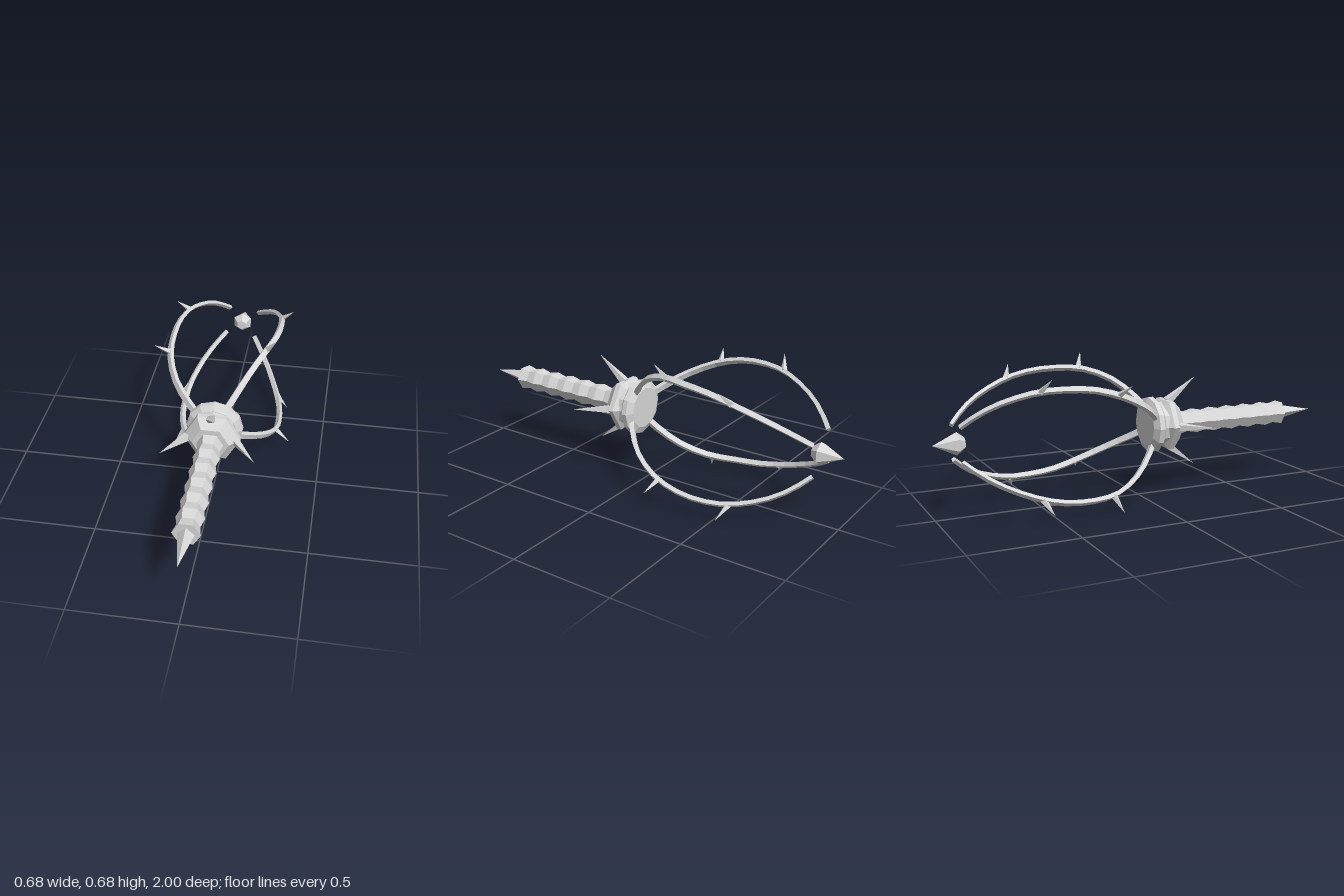
import * as THREE from 'three';

const metal = new THREE.MeshStandardMaterial({ color: 0xd8d8d8, flatShading: true });
metal.name = 'light grey metal';

function mesh(name, geometry) {
  const m = new THREE.Mesh(geometry, metal);
  m.name = name;
  return m;
}

// Faceted turning along the z axis; profile is [radius, z] with rising z
function turned(name, profile, sides, phase) {
  const pts = profile.map(([r, z]) => new THREE.Vector2(r, z));
  return mesh(name, new THREE.LatheGeometry(pts, sides, phase).rotateX(Math.PI / 2));
}

// Four-sided spike from base to tip
function spike(name, base, tip, radius) {
  const dir = tip.clone().sub(base);
  const length = dir.length();
  const m = mesh(name, new THREE.ConeGeometry(radius, length, 4).translate(0, length / 2, 0));
  m.quaternion.setFromUnitVectors(new THREE.Vector3(0, 1, 0), dir.normalize());
  m.position.copy(base);
  return m;
}

// Point given by distance from the axis, angle in degrees and z
function polar(r, degrees, z) {
  const a = THREE.MathUtils.degToRad(degrees);
  return new THREE.Vector3(r * Math.cos(a), r * Math.sin(a), z);
}

// Tapered rectangular bar swept along a curve, flat side facing the axis
function barGeometry(curve, steps) {
  const pos = [], index = [];
  for (let i = 0; i <= steps; i++) {
    const t = i / steps;
    const p = curve.getPointAt(t), T = curve.getTangentAt(t);
    const N = new THREE.Vector3(p.x, p.y, 0).normalize();
    N.addScaledVector(T, -N.dot(T)).normalize();
    const S = T.clone().cross(N);
    const w = THREE.MathUtils.lerp(0.015, 0.01, t);
    const h = THREE.MathUtils.lerp(0.011, 0.008, t);
    for (const [n, s] of [[1, -1], [1, 1], [-1, 1], [-1, -1]]) {
      const v = p.clone().addScaledVector(N, n * h).addScaledVector(S, s * w);
      pos.push(v.x, v.y, v.z);
    }
    if (i === steps) continue;
    for (let j = 0; j < 4; j++) {
      const a = i * 4 + j, b = i * 4 + (j + 1) % 4;
      index.push(a, b, b + 4, a, b + 4, a + 4);
    }
  }
  const e = steps * 4;
  index.push(0, 2, 1, 0, 3, 2, e, e + 1, e + 2, e, e + 2, e + 3);
  const g = new THREE.BufferGeometry();
  g.setAttribute('position', new THREE.Float32BufferAttribute(pos, 3));
  g.setIndex(index);
  g.computeVertexNormals();
  return g;
}

export function createModel() {
  const model = new THREE.Group();
  model.name = 'clawedSceptre';
  const body = new THREE.Group();
  body.name = 'sceptreBody';
  body.position.y = 0.343;
  model.add(body);

  // Ribbed hexagonal handle and its end spike
  const ribs = [[0, 0.19]];
  for (let i = 0; i <= 12; i++) ribs.push([i % 2 ? 0.052 : 0.063, 0.21 + i * 0.05]);
  ribs.push([0, 0.81]);
  body.add(turned('handle', ribs, 6, Math.PI / 2));
  body.add(spike('pommelSpike', new THREE.Vector3(0, 0, 0.805), new THREE.Vector3(0, 0, 1), 0.038));

  // Collar: hexagonal front, rounder bevelled rear, joined by a neck
  body.add(turned('frontCollar',
    [[0, 0.115], [0.11, 0.115], [0.135, 0.135], [0.135, 0.16], [0.088, 0.205], [0, 0.205]], 6, Math.PI / 2));
  body.add(turned('collarNeck', [[0.108, 0.07], [0.108, 0.13]], 12, 0));
  body.add(turned('rearCollar',
    [[0, 0.038], [0.1, 0.038], [0.136, 0.056], [0.136, 0.08], [0.11, 0.1], [0, 0.1]], 12, 0));

  // Pointed gem at the far end
  body.add(turned('tipGem', [[0, -1], [0.053, -0.89], [0.027, -0.855], [0, -0.855]], 6, 0));

  // Twisted claw path: radius, angle, z
  const path = new THREE.CatmullRomCurve3([
    [0.09, 61, 0.06], [0.15, 59, 0.02], [0.25, 57, -0.07], [0.33, 53, -0.2], [0.362, 48.5, -0.34],
    [0.36, 46, -0.48], [0.33, 43.5, -0.6], [0.25, 41, -0.75], [0.18, 39.5, -0.83], [0.11, 38, -0.89],
  ].map(([r, a, z]) => polar(r, a, z)));
  const claw = barGeometry(path, 16);

  // Four claws with two thorns each, and four collar spikes
  for (let k = 0; k < 4; k++) {
    const quarter = new THREE.Group();
    quarter.name = 'clawQuarter' + (k + 1);
    quarter.rotation.z = k * Math.PI / 2;
    quarter.add(mesh('claw', claw));
    quarter.add(spike('frontThorn', polar(0.336, 52.2, -0.222), polar(0.428, 53, -0.19), 0.017));
    quarter.add(spike('rearThorn', polar(0.338, 44, -0.576), polar(0.426, 44.2, -0.545), 0.017));
    quarter.add(spike('collarSpike', polar(0.108, 0, 0.158), polar(0.22, 0, 0.31), 0.024));
    body.add(quarter);
  }
  return model;
}
